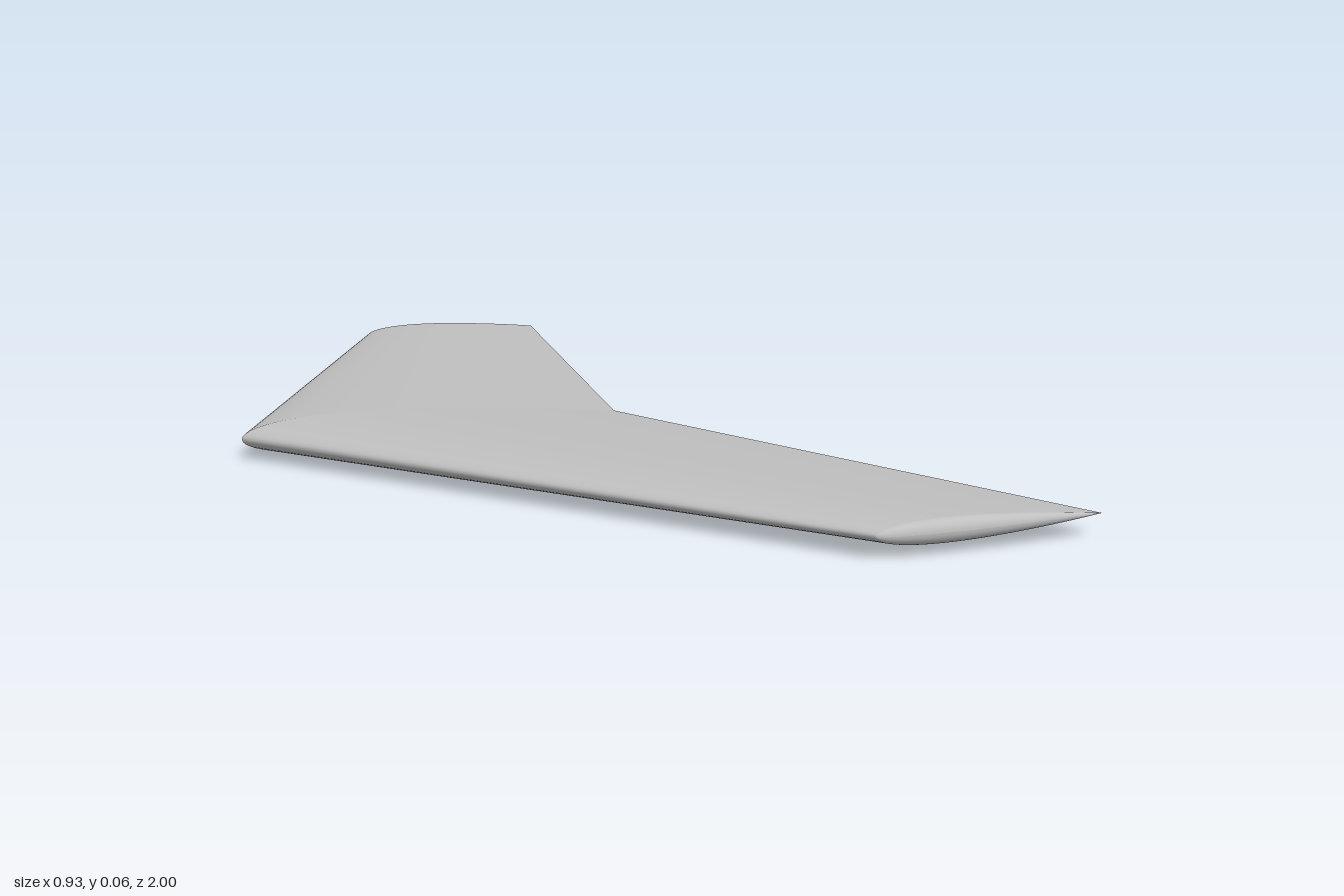
import * as THREE from 'three';

const MID_Y = 0.032;   // height of the chord plane
const TIP_Z = 0.981;   // where the rounded tip cap begins
const THICKNESS = 0.097; // thickness relative to the chord
const AROUND = 32;     // points per upper or lower surface
const SPAN_STEPS = 12;
const CAP_STEPS = 8;

// Half thickness of a symmetric airfoil at chord fraction t
function halfThickness(t) {
  return 5 * THICKNESS * (0.2969 * Math.sqrt(t) - 0.126 * t - 0.3516 * t ** 2 + 0.2843 * t ** 3 - 0.1036 * t ** 4);
}

// One half wing: swept, tapered sections closed by a tip revolved about the chord
function halfWing(side) {
  const stations = [];
  for (let i = 0; i <= SPAN_STEPS; i++) stations.push({ s: i / SPAN_STEPS, phi: 0 });
  for (let i = 1; i <= CAP_STEPS; i++) stations.push({ s: 1, phi: (i / CAP_STEPS) * Math.PI / 2 });

  const positions = [], indices = [];
  const row = 2 * AROUND + 1;
  stations.forEach(({ s, phi }, i) => {
    const lead = THREE.MathUtils.lerp(-0.468, 0.1, s);
    const trail = THREE.MathUtils.lerp(0.19, 0.465, s);
    const chord = trail - lead;
    for (let j = 0; j < row; j++) {
      // trailing edge -> over the top -> leading edge -> underneath -> trailing edge
      const a = (j / AROUND) * Math.PI;
      const t = Math.min(1, Math.max(0, (1 + Math.cos(a)) / 2));
      const h = Math.max(0, halfThickness(t)) * chord;
      const y = (j <= AROUND ? h : -h) * Math.cos(phi);
      positions.push(lead + t * chord, MID_Y + y, side * (s * TIP_Z + h * Math.sin(phi)));
      if (i < stations.length - 1 && j < row - 1) {
        const p = i * row + j, q = p + 1, r = p + row, u = r + 1;
        if (side > 0) indices.push(p, q, r, q, u, r);
        else indices.push(p, r, q, q, r, u);
      }
    }
  });

  const geometry = new THREE.BufferGeometry();
  geometry.setAttribute('position', new THREE.Float32BufferAttribute(positions, 3));
  geometry.setIndex(indices);
  geometry.computeVertexNormals();
  return geometry;
}

export function createModel() {
  const grey = new THREE.MeshStandardMaterial({ color: 0xbfbfbf });
  grey.name = 'light grey';

  const model = new THREE.Group();
  model.name = 'sweptWing';
  for (const [name, side] of [['frontHalfWing', 1], ['backHalfWing', -1]]) {
    const mesh = new THREE.Mesh(halfWing(side), grey);
    mesh.name = name;
    model.add(mesh);
  }
  return model;
}
